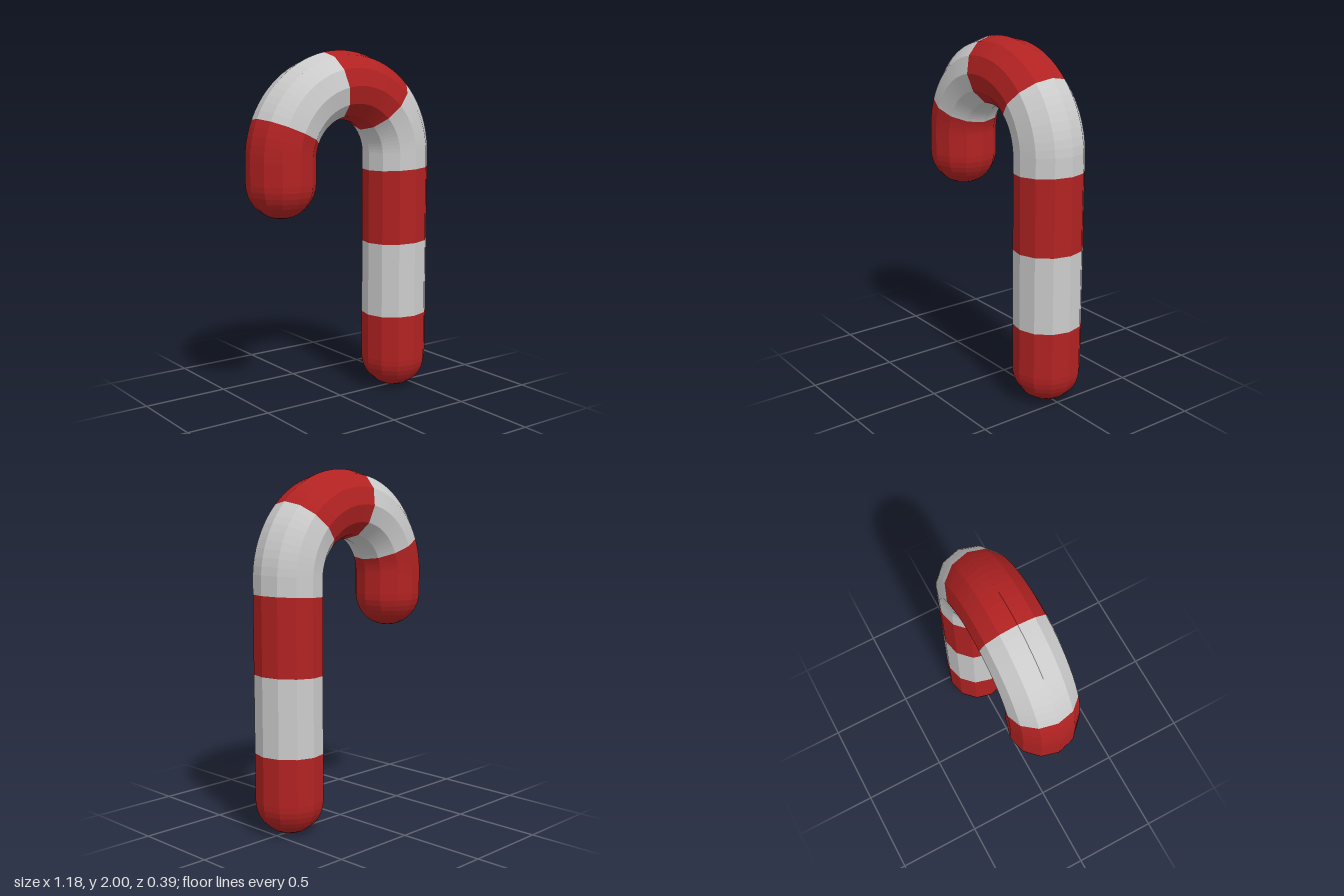
import * as THREE from 'three';

const R = 0.398, r = 0.193, SIDES = 12, CENTRE_Y = 1.407, LEG_Y = 1.283;
const rad = THREE.MathUtils.degToRad;

// A ring across the cane: centre x, y, tilt angle a and radius
const stem = (y, radius = r) => ({ x: R, y, a: rad(2.3 * y), radius });
const bend = (deg) => ({ x: R * Math.cos(rad(deg)), y: CENTRE_Y + R * Math.sin(rad(deg)), a: rad(deg), radius: r });
const leg = (y, radius = r) => ({ x: -R, y, a: Math.PI, radius });

// Evenly spaced rings between two values
const span = (from, to, n, make) =>
  Array.from({ length: n + 1 }, (_, i) => make(from + (to - from) * i / n));

// Rounded end from the tip (0) to the full radius (90 degrees)
const cap = (y, make) => span(0, 90, 9, (d) => make(y - r * Math.cos(rad(d)), r * Math.sin(rad(d))));

// Skin a list of rings with flat facets
function loft(rings) {
  const pos = [], index = [];
  for (const { x, y, a, radius } of rings) {
    for (let j = 0; j < SIDES; j++) {
      const t = j / SIDES * Math.PI * 2, u = radius * Math.cos(t);
      pos.push(x + u * Math.cos(a), y + u * Math.sin(a), radius * Math.sin(t));
    }
  }
  for (let i = 0; i < rings.length - 1; i++) {
    for (let j = 0; j < SIDES; j++) {
      const k = (j + 1) % SIDES;
      const p = i * SIDES + j, q = i * SIDES + k, s = p + SIDES, t = q + SIDES;
      if (rings[i].radius > 1e-6) index.push(p, s, q);
      if (rings[i + 1].radius > 1e-6) index.push(q, s, t);
    }
  }
  const geo = new THREE.BufferGeometry();
  geo.setAttribute('position', new THREE.Float32BufferAttribute(pos, 3));
  geo.setIndex(index);
  const flat = geo.toNonIndexed();
  flat.computeVertexNormals();
  return flat;
}

export function createModel() {
  const group = new THREE.Group();
  group.name = 'candyCane';
  const red = new THREE.MeshStandardMaterial({ color: 0xb22222, flatShading: true });
  const pale = new THREE.MeshStandardMaterial({ color: 0xcccccc, flatShading: true });

  // Stripes in order from the foot of the stem to the tip of the hook
  const stripes = [
    ['stemFoot', [...cap(r, stem), stem(0.46)]],
    ['stemLowerStripe', [stem(0.46), stem(0.895)]],
    ['stemUpperStripe', [stem(0.895), stem(1.325)]],
    ['bendRightStripe', [stem(1.325), ...span(3.5, 45, 9, bend)]],
    ['bendTopStripe', span(45, 101, 12, bend)],
    ['bendLeftStripe', span(101, 157, 12, bend)],
    ['hookTip', [...span(157, 180, 5, bend), ...cap(LEG_Y, leg).reverse()]],
  ];
  stripes.forEach(([name, rings], i) => {
    const mesh = new THREE.Mesh(loft(rings), i % 2 ? pale : red);
    mesh.name = name;
    group.add(mesh);
  });
  return group;
}
